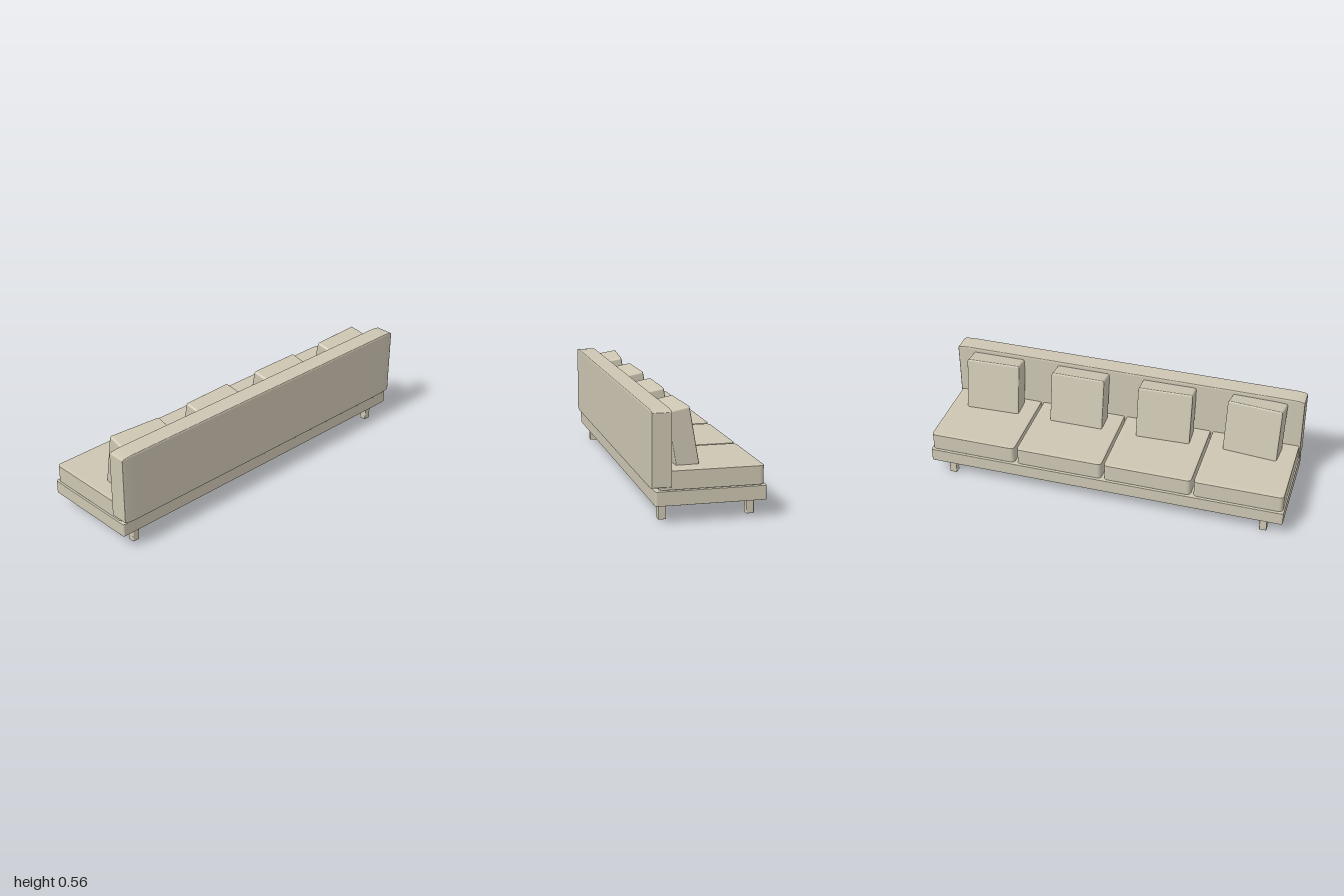
import * as THREE from 'three';
import { RoundedBoxGeometry } from 'three/addons/geometries/RoundedBoxGeometry.js';

const fabric = new THREE.MeshStandardMaterial({ color: 0xcdc6b2 });
fabric.name = 'beige fabric';

// Box from min to max corner with a separate edge radius on each axis
function softBox(name, [x0, y0, z0], [x1, y1, z1], [rx, ry, rz]) {
  const geometry = new RoundedBoxGeometry((x1 - x0) / rx, (y1 - y0) / ry, (z1 - z0) / rz, 4, 1);
  geometry.scale(rx, ry, rz);
  const mesh = new THREE.Mesh(geometry, fabric);
  mesh.name = name;
  mesh.position.set((x0 + x1) / 2, (y0 + y1) / 2, (z0 + z1) / 2);
  return mesh;
}

export function createModel() {
  const sofa = new THREE.Group();
  sofa.name = 'sofa';

  // Platform and long backrest
  sofa.add(softBox('base', [-1, 0.09, -0.29], [1, 0.165, 0.27], [0.01, 0.002, 0.01]));
  sofa.add(softBox('backrest', [-1, 0.174, 0.186], [1, 0.56, 0.29], [0.08, 0.012, 0.004]));

  // Four legs
  for (const x of [-0.893, 0.893]) {
    for (const z of [-0.234, 0.215]) {
      sofa.add(softBox('leg', [x - 0.02, 0, z - 0.02], [x + 0.02, 0.092, z + 0.02], [0.005, 0.001, 0.005]));
    }
  }

  // Seat cushions, each with a leaning pillow turned slightly
  const turns = [-5, 2, 0, 2];
  turns.forEach((turn, i) => {
    const x = -0.75 + i * 0.5;
    sofa.add(softBox('seatCushion', [x - 0.243, 0.165, -0.28], [x + 0.243, 0.265, 0.247], [0.022, 0.004, 0.025]));

    const pillow = softBox('pillow', [-0.152, -0.15, -0.06], [0.152, 0.15, 0.06], [0.012, 0.012, 0.005]);
    pillow.rotation.order = 'YXZ';
    pillow.rotation.set(THREE.MathUtils.degToRad(10), THREE.MathUtils.degToRad(turn), 0);
    pillow.position.set(x - 0.002, 0.397, 0.113);
    sofa.add(pillow);
  });

  return sofa;
}
